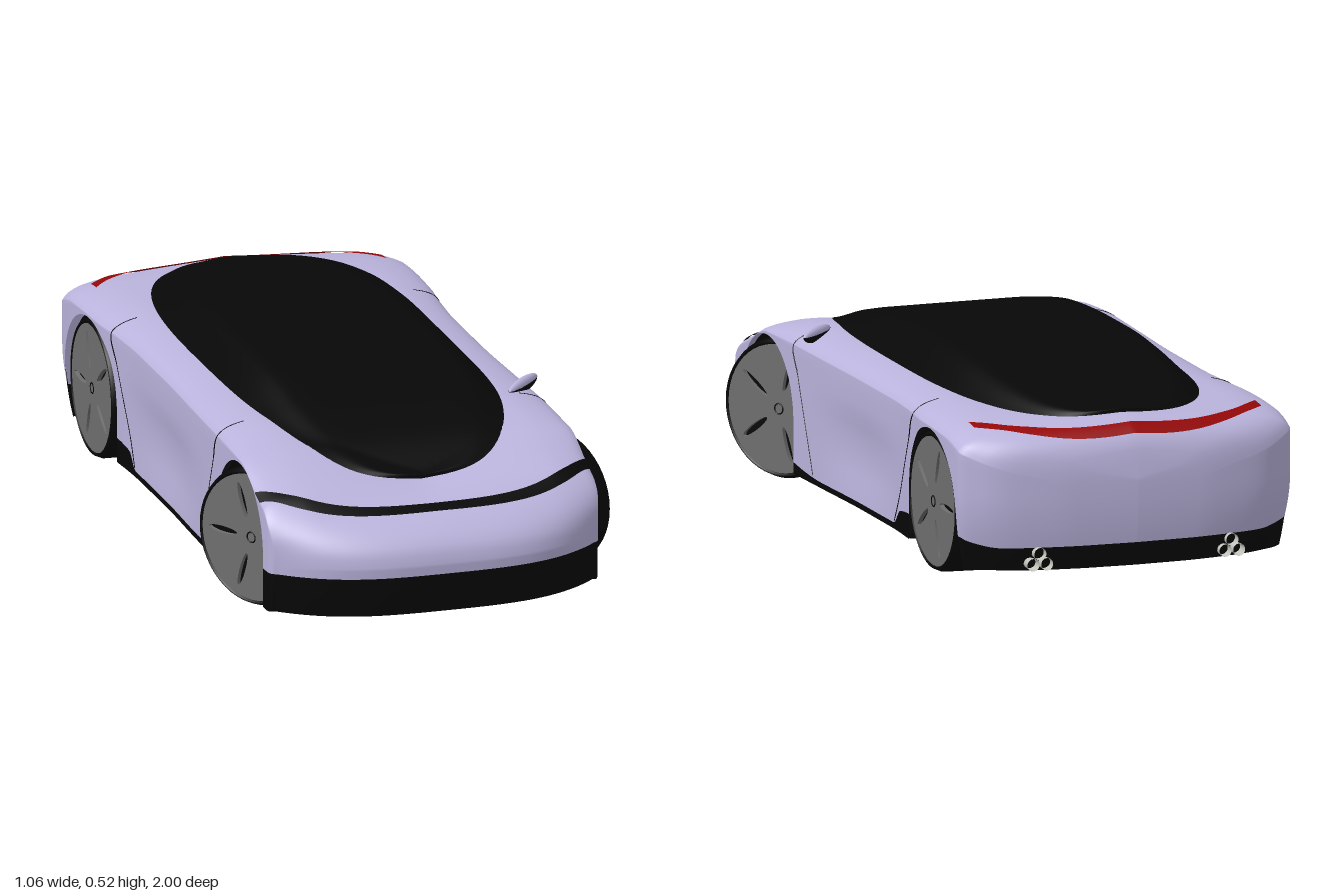
import * as THREE from 'three';

const mat = (name, color, side = THREE.DoubleSide) => {
  const m = new THREE.MeshStandardMaterial({ color, side });
  m.name = name;
  return m;
};

// Monotone cubic interpolation through [key, value] pairs
function smooth(k) {
  const n = k.length - 1, d = [], m = [];
  for (let i = 0; i < n; i++) d.push((k[i + 1][1] - k[i][1]) / (k[i + 1][0] - k[i][0]));
  for (let i = 0; i <= n; i++) {
    const a = d[Math.max(0, i - 1)], b = d[Math.min(n - 1, i)];
    m.push(a * b > 0 ? 2 * a * b / (a + b) : 0);
  }
  return x => {
    x = Math.min(Math.max(x, k[0][0]), k[n][0]);
    let i = 0;
    while (i < n - 1 && x > k[i + 1][0]) i++;
    const h = k[i + 1][0] - k[i][0], t = (x - k[i][0]) / h, t2 = t * t, t3 = t2 * t;
    return (2 * t3 - 3 * t2 + 1) * k[i][1] + (t3 - 2 * t2 + t) * h * m[i]
      + (3 * t2 - 2 * t3) * k[i + 1][1] + (t3 - t2) * h * m[i + 1];
  };
}

// Body curves along z: half width, shoulder, fender crest, centre line, dark band top
const width = smooth([[-1, 0], [-0.997, 0.13], [-0.985, 0.24], [-0.96, 0.36], [-0.93, 0.42], [-0.89, 0.463], [-0.8, 0.465],
  [-0.6, 0.46], [-0.5, 0.45], [-0.3, 0.44], [-0.1, 0.44], [0.2, 0.448], [0.4, 0.453], [0.75, 0.455], [0.85, 0.455],
  [0.93, 0.45], [1, 0.437]]);
const shoulder = smooth([[-1, 0.25], [-0.985, 0.29], [-0.96, 0.32], [-0.93, 0.342], [-0.89, 0.364], [-0.8, 0.386],
  [-0.67, 0.391], [-0.1, 0.39], [0.4, 0.392], [0.6, 0.388], [0.75, 0.332], [0.8, 0.314], [0.86, 0.288], [0.92, 0.256],
  [0.96, 0.228], [0.985, 0.202], [1, 0.17]]);
const crest = smooth([[-1, 0.28], [-0.985, 0.345], [-0.96, 0.38], [-0.93, 0.4], [-0.89, 0.413], [-0.8, 0.426],
  [-0.6, 0.433], [0.4, 0.433], [0.6, 0.414], [0.75, 0.364], [0.8, 0.345], [0.86, 0.314], [0.92, 0.28], [0.96, 0.251],
  [0.985, 0.223], [0.995, 0.203], [1, 0.185]]);
const centre = smooth([[-1, 0.285], [-0.985, 0.365], [-0.96, 0.405], [-0.93, 0.423], [-0.89, 0.434], [-0.8, 0.438],
  [-0.5, 0.43], [-0.1, 0.425], [0.2, 0.42], [0.4, 0.41], [0.6, 0.382], [0.75, 0.34], [0.8, 0.328], [0.86, 0.31],
  [0.92, 0.285], [0.96, 0.257], [0.985, 0.227], [0.995, 0.205], [1, 0.185]]);
const bandTop = smooth([[-1, 0.11], [-0.95, 0.11], [-0.87, 0.135], [-0.8, 0.115], [-0.5, 0.115], [-0.385, 0.105],
  [-0.335, 0.063], [0.2, 0.062], [0.42, 0.08], [0.7, 0.152], [1, 0.155]]);
const roof = smooth([[-0.87, 0.44], [-0.8, 0.453], [-0.6, 0.486], [-0.4, 0.51], [-0.2, 0.52], [0, 0.519], [0.2, 0.508],
  [0.4, 0.475], [0.6, 0.42], [0.75, 0.345]]);
const roofSection = smooth([[0, 1], [0.55, 0.995], [0.74, 0.92], [1, 0]]);

const FLOOR = 0.047;
const ARCHES = [{ z: 0.6, y: 0.18, r: 0.2 }, { z: -0.67, y: 0.185, r: 0.2 }];
const lowerEdge = z => {
  for (const a of ARCHES) {
    const d = Math.abs(z - a.z);
    if (d < a.r) return a.y + Math.sqrt(a.r * a.r - d * d);
  }
  return FLOOR;
};
// Backward sweep of the nose towards its corners
const bow = (f, z) => 0.13 * Math.max(0, (z - 0.8) / 0.2) ** 1.3 * Math.abs(f) ** 3.2;
// Height of the upper skin at a fraction of the half width
const topY = (f, z) => {
  const s = shoulder(z), d = crest(z) - s;
  return smooth([[0, centre(z)], [0.73, s + d], [0.87, s + 0.78 * d], [0.97, s + 0.36 * d], [1, s]])(Math.abs(f));
};
// Skin height above a point in plan, undoing the nose sweep
const surfaceY = (x, z) => {
  let f = 0, station = z;
  for (let i = 0; i < 25; i++) {
    f = Math.min(1, Math.abs(x) / Math.max(width(station), 1e-4));
    station = Math.min(1, z + bow(f, station));
  }
  return topY(f, station);
};
// Skin point from width fraction, height and station: hollow doors, tucked ends, swept nose
const place = (f, y, z) => {
  const u = (z + 0.08) / 0.4, v = (y - 0.19) / 0.11;
  const hollow = 0.014 * Math.max(0, 1 - u * u) ** 2 * Math.max(0, 1 - v * v);
  const end = Math.max(0, (Math.abs(z) - 0.85) / 0.15), tail = Math.sqrt(Math.max(0, (-0.86 - z) / 0.14));
  const low = Math.max(0, 0.25 - y) ** 2;
  return [f * (width(z) - hollow) * (1 - 4.5 * tail * low), y, z * (1 - 0.6 * end * low) - bow(f, z)];
};

// Surface from a grid of points, leaving out collapsed cells
function grid(rows, cols, fn) {
  const pos = [], idx = [];
  for (let i = 0; i < rows; i++) for (let j = 0; j < cols; j++) pos.push(...fn(i, j));
  const P = i => new THREE.Vector3().fromArray(pos, i * 3);
  const tri = (a, b, c) => {
    const A = P(a);
    if (P(b).sub(A).cross(P(c).sub(A)).length() > 1e-10) idx.push(a, b, c);
  };
  for (let i = 0; i < rows - 1; i++) for (let j = 0; j < cols - 1; j++) {
    const a = i * cols + j, b = a + cols;
    tri(a, a + 1, b);
    tri(a + 1, b + 1, b);
  }
  const g = new THREE.BufferGeometry();
  g.setAttribute('position', new THREE.Float32BufferAttribute(pos, 3));
  g.setIndex(idx);
  g.computeVertexNormals();
  return g;
}

export function createModel() {
  const car = new THREE.Group();
  const paint = mat('lavender paint', 0xbab3dc);
  const black = mat('black', 0x070707);
  const alloy = mat('grey alloy', 0x6e6e6e);
  const red = mat('red lamp', 0x960808);
  const steel = mat('exhaust steel', 0xc4c4bc);
  const add = (name, geo, m, parent = car) => {
    const mesh = new THREE.Mesh(geo, m);
    mesh.name = name;
    parent.add(mesh);
    return mesh;
  };

  // Stations along the body, doubled at the wheel arch ends
  const zs = [];
  for (let i = 0; i <= 160; i++) {
    const u = -1 + i / 80;
    zs.push(0.5 * u + 0.5 * Math.sin(u * Math.PI / 2));
  }
  for (const a of ARCHES) for (const s of [-1, 1]) for (const e of [-1e-4, 1e-4]) zs.push(a.z + s * a.r + e);
  zs.sort((a, b) => a - b);

  // Painted shell: wall, over the top, wall; the last stations drop down the nose face
  const W = 10, T = 36, DROPS = 4;
  add('bodyShell', grid(zs.length + DROPS, 2 * W + T + 1, (i, j) => {
    const z = zs[Math.min(i, zs.length - 1)], drop = Math.max(0, i - zs.length + 1) / DROPS;
    const fall = y => y + (bandTop(z) - y) * drop;
    const y0 = Math.max(lowerEdge(z), bandTop(z)), y1 = fall(shoulder(z));
    if (j < W) return place(1, y0 + (y1 - y0) * j / W, z);
    if (j > W + T) return place(-1, y0 + (y1 - y0) * (2 * W + T - j) / W, z);
    const f = Math.sin((1 - 2 * (j - W) / T) * Math.PI / 2);
    return place(f, fall(topY(f, z)), z);
  }), paint);

  // Dark lower bumpers and sills
  for (const s of [1, -1]) add(s > 0 ? 'leftLowerTrim' : 'rightLowerTrim', grid(zs.length, 4, (i, j) => {
    const z = zs[i], y0 = lowerEdge(z), y1 = Math.max(y0, bandTop(z));
    return place(s, y0 + (y1 - y0) * (s > 0 ? j : 3 - j) / 3, z);
  }), black);
  add('frontBumper', grid(4, 37, (i, j) =>
    place(Math.sin((j / 18 - 1) * Math.PI / 2), FLOOR + (bandTop(1) - FLOOR) * i / 3, 1)), black);

  // Glass canopy
  add('canopy', grid(61, 41, (i, j) => {
    const u = -Math.cos(i / 60 * Math.PI), z = -0.06 + 0.81 * u;
    const c = 0.34 * Math.max(0, 1 - Math.abs(u) ** 3.2) ** (1 / 3.2);
    const q = 1 - j / 20, x = q * c, base = surfaceY(x, z);
    return [x, base + Math.max(roof(z) - base, 0.01) * roofSection(Math.abs(q)), z];
  }), black);

  // Nose stripe and rear lamp bar laid on the skin, of even width along their curve
  const strip = (name, half, zMid, rise, power, wide, m) => add(name, grid(7, 81, (i, j) => {
    const t = 1 - j / 40, slope = rise * power * Math.abs(t) ** (power - 1) / half;
    const z = zMid + rise * Math.abs(t) ** power + (i / 6 - 0.5) * wide * Math.hypot(1, slope);
    const x = Math.sign(t) * Math.min(half * Math.abs(t), width(z) + 0.002);
    return [x, surfaceY(x, z) + 0.004, z];
  }), m);
  strip('noseStripe', 0.457, 0.885, -0.13, 3.2, 0.031, black);
  strip('rearLampBar', 0.4, -0.953, 0.135, 3.2, 0.032, red);

  // Panel gaps from the canopy edge down the flanks
  for (const s of [1, -1]) for (const [zTop, zLow] of [[0.4, 0.26], [-0.51, -0.34]]) {
    const pts = [0.38, 0.41, 0.43].map(x => new THREE.Vector3(s * x, surfaceY(x, zTop), zTop));
    for (const t of [0, 0.25, 0.5, 0.75, 1]) {
      const y = shoulder(zTop) + (0.07 - shoulder(zTop)) * t;
      pts.push(new THREE.Vector3(...place(s, y, zTop + (zLow - zTop) * t)));
    }
    add('panelGap', new THREE.TubeGeometry(new THREE.CatmullRomCurve3(pts), 48, 0.0015, 5), black);
  }

  // Underbody with cut-outs for the wheels
  const half = [];
  const edge = (n, fn) => {
    for (let i = 0; i <= n; i++) {
      const p = fn(i / n);
      half.push([p[0] * 0.99, p[2] * 0.998]);
    }
  };
  edge(16, t => place(Math.sin(t * Math.PI / 2), FLOOR, 1));
  edge(4, t => place(1, FLOOR, 0.99 - 0.19 * t));
  half.push([0.16, 0.8], [0.16, 0.4]);
  edge(10, t => place(1, FLOOR, 0.4 - 0.87 * t));
  half.push([0.2, -0.47], [0.2, -0.87]);
  edge(16, t => place(1, FLOOR, -0.87 - 0.13 * t));
  const outline = [...half, ...half.slice(1, -1).reverse().map(([x, z]) => [-x, z])];
  const floorGeo = new THREE.ExtrudeGeometry(new THREE.Shape(outline.map(([x, z]) => new THREE.Vector2(x, -z))),
    { depth: 0.014, bevelEnabled: false });
  add('underbody', floorGeo.rotateX(-Math.PI / 2).translate(0, FLOOR, 0), black);

  // Wheel wells with bulkheads fore and aft
  ARCHES.forEach((a, k) => {
    const inner = k ? 0.2 : 0.16, top = k ? 0.385 : 0.3;
    add('wellCore', new THREE.BoxGeometry(inner * 2, top - 0.052, 0.4).translate(0, (top + 0.052) / 2, a.z), black);
    for (const s of [1, -1]) {
      const g = new THREE.CylinderGeometry(a.r, a.r, 0.44 - inner, 32, 1, true, 0, Math.PI).rotateZ(Math.PI / 2);
      add('wheelWell', g.translate(s * (0.44 + inner) / 2, a.y, a.z), black);
      for (const e of [1, -1]) add('wellBulkhead', new THREE.BoxGeometry(0.42 - inner, 0.14, 0.008)
        .translate(s * (0.42 + inner) / 2, 0.12, a.z + e * (a.r + 0.005)), black);
    }
  });

  // Wheels, outer face along local +y; the front pair is steered
  const face = new THREE.Shape().absarc(0, 0, 0.172, 0, Math.PI * 2);
  for (let i = 0; i < 5; i++) {
    const a = i / 5 * Math.PI * 2 + Math.PI / 2, slot = new THREE.Path();
    slot.absellipse(Math.cos(a) * 0.1, Math.sin(a) * 0.1, 0.05, 0.0095, 0, Math.PI * 2, true, a);
    face.holes.push(slot);
  }
  const tyreProfile = [[0.165, -0.088], [0.172, -0.098], [0.18, -0.096], [0.187, -0.08], [0.189, 0], [0.187, 0.08],
    [0.18, 0.096], [0.174, 0.098], [0.17, 0.088]].map(p => new THREE.Vector2(...p));
  for (const front of [true, false]) for (const s of [1, -1]) {
    const wheel = new THREE.Group(), spin = new THREE.Group();
    wheel.name = (front ? 'front' : 'rear') + (s > 0 ? 'Left' : 'Right') + 'Wheel';
    add('tyre', new THREE.LatheGeometry(tyreProfile, 48), black, spin);
    add('rimBarrel', new THREE.CylinderGeometry(0.165, 0.165, 0.17, 48, 1, true), alloy, spin);
    add('rimFace', new THREE.ExtrudeGeometry(face, { depth: 0.012, bevelEnabled: false, curveSegments: 24 })
      .rotateX(-Math.PI / 2).translate(0, 0.082, 0), alloy, spin);
    add('rimBacking', new THREE.CylinderGeometry(0.16, 0.16, 0.008, 32).translate(0, 0.074, 0), [alloy, black, alloy], spin);
    add('hubRing', new THREE.TorusGeometry(0.014, 0.002, 6, 20).rotateX(Math.PI / 2).translate(0, 0.094, 0), black, spin);
    spin.rotation.z = -s * Math.PI / 2;
    wheel.add(spin);
    wheel.position.set(s * (front ? 0.357 : 0.358), 0.189, front ? 0.6 : -0.67);
    wheel.rotation.y = front ? Math.PI / 6 : 0;
    car.add(wheel);
  }

  // Door mirror on the left side only
  const mirror = new THREE.Group();
  mirror.name = 'doorMirror';
  add('mirrorCap', new THREE.SphereGeometry(1, 24, 8, 0, Math.PI * 2, 0, Math.PI / 2).scale(0.078, 0.018, 0.014), paint, mirror);
  add('mirrorBase', new THREE.SphereGeometry(1, 24, 8, 0, Math.PI * 2, Math.PI / 2, Math.PI / 2).scale(0.078, 0.024, 0.0145), black, mirror);
  mirror.position.set(0.408, 0.433, 0.345);
  mirror.rotation.y = Math.PI / 4;
  car.add(mirror);

  // Exhaust pipes with clustered tips
  for (const s of [1, -1]) {
    const path = [[0.268, 0.07, -0.94], [0.268, 0.057, -0.89], [0.245, 0.052, -0.82], [0.19, 0.052, -0.77], [0.16, 0.06, -0.72]];
    add('exhaustPipe', new THREE.TubeGeometry(new THREE.CatmullRomCurve3(
      path.map(([x, y, z]) => new THREE.Vector3(s * x, y, z))), 24, 0.014, 10), steel);
    for (const [dx, dy] of [[-0.019, 0], [0.019, 0], [0, 0.028]]) {
      const tip = new THREE.CylinderGeometry(0.017, 0.014, 0.055, 14, 1, true).rotateX(-Math.PI / 2);
      add('exhaustTip', tip.translate(s * 0.268 + dx, 0.068 + dy, -0.957), steel);
    }
  }
  return car;
}
